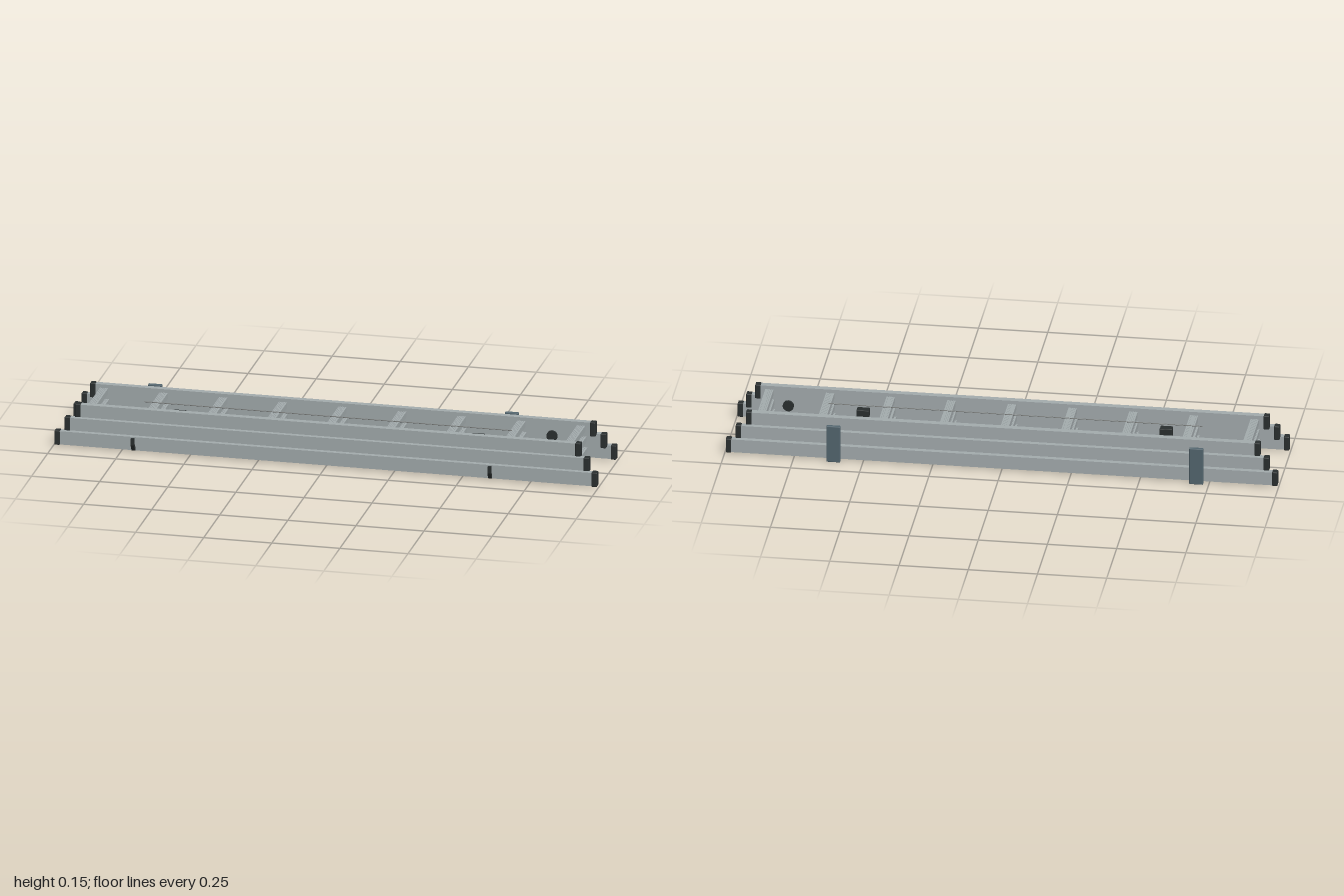
import * as THREE from 'three';
import { RoundedBoxGeometry } from 'three/addons/geometries/RoundedBoxGeometry.js';

const mat = (color) => new THREE.MeshStandardMaterial({ color });

export function createModel() {
  const model = new THREE.Group();
  model.name = 'stackedLadder';
  const alu = mat(0xa3abad), rubber = mat(0x2a2f2f), steel = mat(0x52656e), rope = mat(0x777a78);

  const add = (parent, name, geometry, material, x, y, z) => {
    const mesh = new THREE.Mesh(geometry, material);
    mesh.name = name;
    mesh.position.set(x, y, z);
    parent.add(mesh);
    return mesh;
  };

  // Rung section with a finely ribbed tread on top and bottom
  const rungShape = (w, h) => {
    const n = 5, step = w / n, d = 0.0015, top = [], bottom = [];
    for (let i = 0; i < n; i++) {
      const x = -w / 2 + i * step;
      for (const [f, k] of [[0, 0], [0.6, 0], [0.6, 1], [1, 1]]) {
        if (i === n - 1 && f === 1) continue;
        const drop = i === n - 1 ? 0 : k * d;
        top.push(new THREE.Vector2(x + f * step, h / 2 - drop));
        bottom.push(new THREE.Vector2(x + f * step, -h / 2 + drop));
      }
    }
    top[top.length - 1].x = bottom[bottom.length - 1].x = w / 2;
    return new THREE.Shape([...bottom, ...top.reverse()]);
  };

  // Three nested ladder sections: half length, rail centre z, rail centre y
  const sections = [
    ['baseSection', 0.995, 0.150, 0.032],
    ['middleSection', 0.962, 0.132, 0.079],
    ['flySection', 0.927, 0.115, 0.126],
  ];
  for (const [name, half, railZ, railY] of sections) {
    const section = new THREE.Group();
    section.name = name;
    model.add(section);
    for (const side of [-1, 1]) {
      add(section, 'rail', new THREE.BoxGeometry(half * 2 - 0.01, 0.05, 0.023), alu, 0, railY, side * railZ);
      for (const end of [-1, 1]) {
        add(section, 'endCap', new RoundedBoxGeometry(0.02, 0.054, 0.027, 2, 0.003), rubber,
          end * (half - 0.009), railY, side * railZ);
      }
    }
    const length = railZ * 2 - 0.02;
    const rung = new THREE.ExtrudeGeometry(rungShape(0.03, 0.022), { depth: length, bevelEnabled: false });
    rung.translate(0, 0, -length / 2);
    for (let i = -4; i <= 4; i++) add(section, 'rung', rung, alu, i * 0.219, railY + 0.001, 0);
  }

  // Wall brackets: back plate, arm under the ladder and upturned hook
  const arm = new THREE.Shape();
  arm.moveTo(-0.170, 0.007);
  arm.lineTo(0.163, 0.007);
  arm.quadraticCurveTo(0.169, 0.007, 0.174, 0.016);
  arm.lineTo(0.184, 0.033);
  arm.lineTo(0.184, 0.057);
  arm.lineTo(0.171, 0.057);
  arm.lineTo(0.171, 0.035);
  arm.lineTo(0.162, 0.022);
  arm.lineTo(-0.170, 0.022);
  arm.closePath();
  const armGeometry = new THREE.ExtrudeGeometry(arm, { depth: 0.012, bevelEnabled: false });
  armGeometry.translate(0, 0, -0.006);
  armGeometry.rotateY(-Math.PI / 2);
  for (const x of [-0.705, 0.605]) {
    const bracket = new THREE.Group();
    bracket.name = 'wallBracket';
    bracket.position.x = x;
    model.add(bracket);
    add(bracket, 'wallPlate', new RoundedBoxGeometry(0.05, 0.141, 0.014, 2, 0.003), steel, 0, 0.0715, -0.175);
    add(bracket, 'supportArm', armGeometry, rubber, 0, 0, 0);
  }

  // Rung locks between the upper sections
  for (const x of [-0.568, 0.527]) {
    add(model, 'rungLock', new RoundedBoxGeometry(0.045, 0.032, 0.03, 2, 0.002), rubber, x, 0.104, 0.026);
  }

  // Hoisting pulley and rope
  const wheel = add(model, 'pulley', new THREE.CylinderGeometry(0.02, 0.02, 0.009, 24), rubber, 0.793, 0.127, -0.001);
  wheel.rotation.x = Math.PI / 2;
  const path = new THREE.LineCurve3(new THREE.Vector3(-0.7, 0.14, 0.012), new THREE.Vector3(0.65, 0.14, 0.012));
  add(model, 'rope', new THREE.TubeGeometry(path, 1, 0.0018, 8), rope, 0, 0, 0);

  return model;
}
